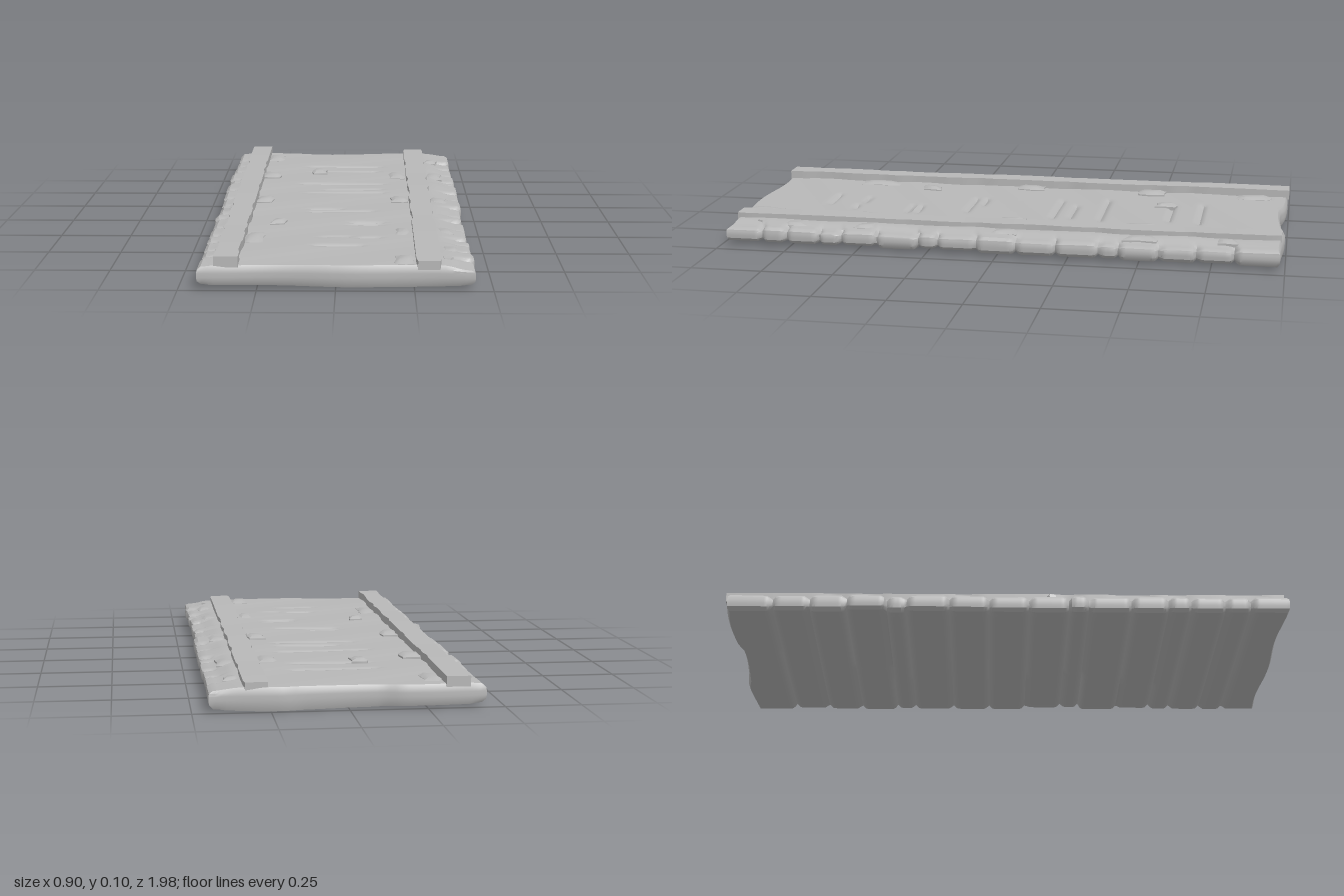
import * as THREE from 'three';
import { toCreasedNormals } from 'three/addons/utils/BufferGeometryUtils.js';

const wood = new THREE.MeshStandardMaterial({ color: 0xb8b8b8 });
wood.name = 'weathered grey';

// repeatable noise in 0..1
const hash = (n) => { const s = Math.sin(n * 127.1 + 11.7) * 43758.5453; return s - Math.floor(s); };
const bump = (d, w) => Math.exp(-(d * d) / (w * w));
const smooth = THREE.MathUtils.smoothstep;

// plank joints along the length
const seams = [-0.83, -0.7, -0.57, -0.43, -0.36, -0.21, -0.07, 0.07, 0.21, 0.28, 0.43, 0.56, 0.64, 0.76, 0.85];
// worn gaps in the walking surface: z, from x, to x
const gaps = [
  [-0.685, -0.13, 0.15], [-0.575, -0.12, 0.14], [-0.33, -0.15, 0.16], [-0.22, -0.05, 0.15],
  [-0.155, -0.12, 0.16], [0.13, -0.1, 0.0], [0.17, -0.1, 0.12], [0.35, 0.05, 0.15],
  [0.385, 0.04, 0.15], [0.575, -0.05, 0.04], [0.59, 0.08, 0.14], [0.7, -0.07, 0.08],
];

// move every vertex of a geometry by a rule, then keep sharp edges
function deform(geometry, rule) {
  const p = geometry.attributes.position;
  const v = new THREE.Vector3();
  for (let i = 0; i < p.count; i++) {
    v.fromBufferAttribute(p, i);
    rule(v);
    p.setXYZ(i, v.x, v.y, v.z);
  }
  return toCreasedNormals(geometry, 0.6);
}

function addMesh(parent, name, geometry, x = 0, y = 0, z = 0) {
  const mesh = new THREE.Mesh(geometry, wood);
  mesh.name = name;
  mesh.position.set(x, y, z);
  parent.add(mesh);
  return mesh;
}

// slab of joined planks with ragged ends, seams below and worn gaps above
function deckGeometry() {
  return deform(new THREE.BoxGeometry(0.9, 0.068, 1.955, 45, 5, 196), (v) => {
    const { x, y, z } = v;
    const t = y / 0.034;
    const side = Math.sign(x);
    const edge = Math.abs(x) / 0.45;
    const plank = seams.filter((s) => s < z).length;
    const id = plank + (side > 0 ? 40 : 0);
    const rim = smooth(edge, 0.85, 1);
    let cut = 0;
    for (const s of seams) cut = Math.max(cut, bump(z - s, 0.009));

    // ragged, rounded plank ends
    v.x -= side * rim * (0.012 * hash(id) + 0.012 * cut + 0.014 * Math.pow(t, 4));

    // uneven front and back edges
    const end = smooth(Math.abs(z), 0.95, 0.9775);
    v.z += end * Math.sign(z) * (0.006 * Math.sin(x * 13 + z) - 0.008 * Math.pow(t, 4));
    if (z < 0) v.z -= end * 0.012 * smooth(Math.abs(x - 0.02), 0.12, 0.2);

    const top = smooth(t, 0.2, 1);
    const base = smooth(-t, 0.2, 1);
    // top: worn gaps, gentle waviness, lower planks on the left margin
    let drop = 0.0015 * (1 + Math.sin(z * 17 + x * 9)) + 0.012 * rim * cut;
    for (const [gz, a, b] of gaps) {
      const span = smooth(x, a - 0.02, a + 0.02) * (1 - smooth(x, b - 0.02, b + 0.02));
      drop += 0.011 * span * bump(z - gz, 0.009);
    }
    drop += smooth(x, 0.35, 0.4) * (0.003 + 0.011 * hash(id + 7)) + 0.004 * rim;
    // underside: stepped planks split by seams, some planks joined mid-way
    const half = x > -0.12 + 0.3 * hash(plank + 3) ? 1 : 0;
    const lift = 0.008 * hash(plank * 2 + half + 60) + 0.01 * cut + 0.004 * rim;
    const tilt = -0.006 * smooth(x, -0.45, 0.2) + 0.005 * smooth(x, 0.25, 0.45);
    v.y = 0.044 + y - top * drop + base * (lift + tilt - 0.004);
  });
}

// long board with slightly worn sides
function railGeometry(width, height, length, seed) {
  return deform(new THREE.BoxGeometry(width, height, length, 2, 1, 60), (v) => {
    const n = hash(Math.round(v.z * 15) + seed);
    if (n > 0.75) v.x -= Math.sign(v.x) * 0.005 * n;
    v.y += v.y > 0 ? 0.001 * Math.sin(v.z * 8 + seed) : 0;
  });
}

// low patch with rounded upper rim
function patchGeometry(width, depth, height, seed) {
  return deform(new THREE.BoxGeometry(width, height, depth, 4, 2, 4), (v) => {
    const rim = Math.max(Math.abs(v.x) / width, Math.abs(v.z) / depth) * 2;
    if (v.y > 0) v.y -= 0.4 * height * Math.pow(rim, 4);
    v.x += 0.004 * Math.sin(v.z * 60 + seed);
    v.z += 0.004 * Math.sin(v.x * 70 + seed);
  });
}

export function createModel() {
  const model = new THREE.Group();
  model.name = 'plankWalkway';

  addMesh(model, 'plankDeck', deckGeometry());

  // two lengthwise boards
  addMesh(model, 'rightRail', railGeometry(0.078, 0.035, 1.975, 1), -0.348, 0.0865, -0.0125);
  addMesh(model, 'leftRail', railGeometry(0.08, 0.03, 1.96, 9), 0.296, 0.079, -0.005);

  // worn patches beside the rails: x, z, width, depth, top height
  const patches = [
    [-0.28, -0.87, 0.06, 0.13, 0.085], [-0.28, -0.48, 0.07, 0.1, 0.09], [-0.28, -0.01, 0.06, 0.1, 0.09],
    [-0.21, 0.37, 0.05, 0.07, 0.091], [-0.28, 0.59, 0.06, 0.15, 0.085], [-0.09, -0.55, 0.055, 0.075, 0.09],
    [0.22, -0.49, 0.06, 0.12, 0.086], [0.22, -0.02, 0.06, 0.09, 0.088], [0.22, 0.5, 0.05, 0.12, 0.084],
    [0.22, 0.9, 0.06, 0.12, 0.087], [0.365, -0.8, 0.05, 0.07, 0.081], [0.365, -0.5, 0.06, 0.12, 0.079],
    [0.365, -0.02, 0.06, 0.1, 0.081], [0.365, 0.48, 0.055, 0.08, 0.08], [0.37, 0.74, 0.055, 0.09, 0.079],
  ];
  patches.forEach(([x, z, w, d, top], i) => {
    addMesh(model, 'wornPatch', patchGeometry(w, d, 0.022, i), x, top - 0.011, z);
  });

  // small faceted pegs near the margins
  for (const [x, y, z] of [[-0.41, 0.079, 0.15], [0.36, 0.073, 0.87]]) {
    const peg = addMesh(model, 'peg', new THREE.CylinderGeometry(0.017, 0.021, 0.012, 5).toNonIndexed(), x, y, z);
    peg.geometry.computeVertexNormals();
    peg.rotation.y = 0.5;
  }
  return model;
}
